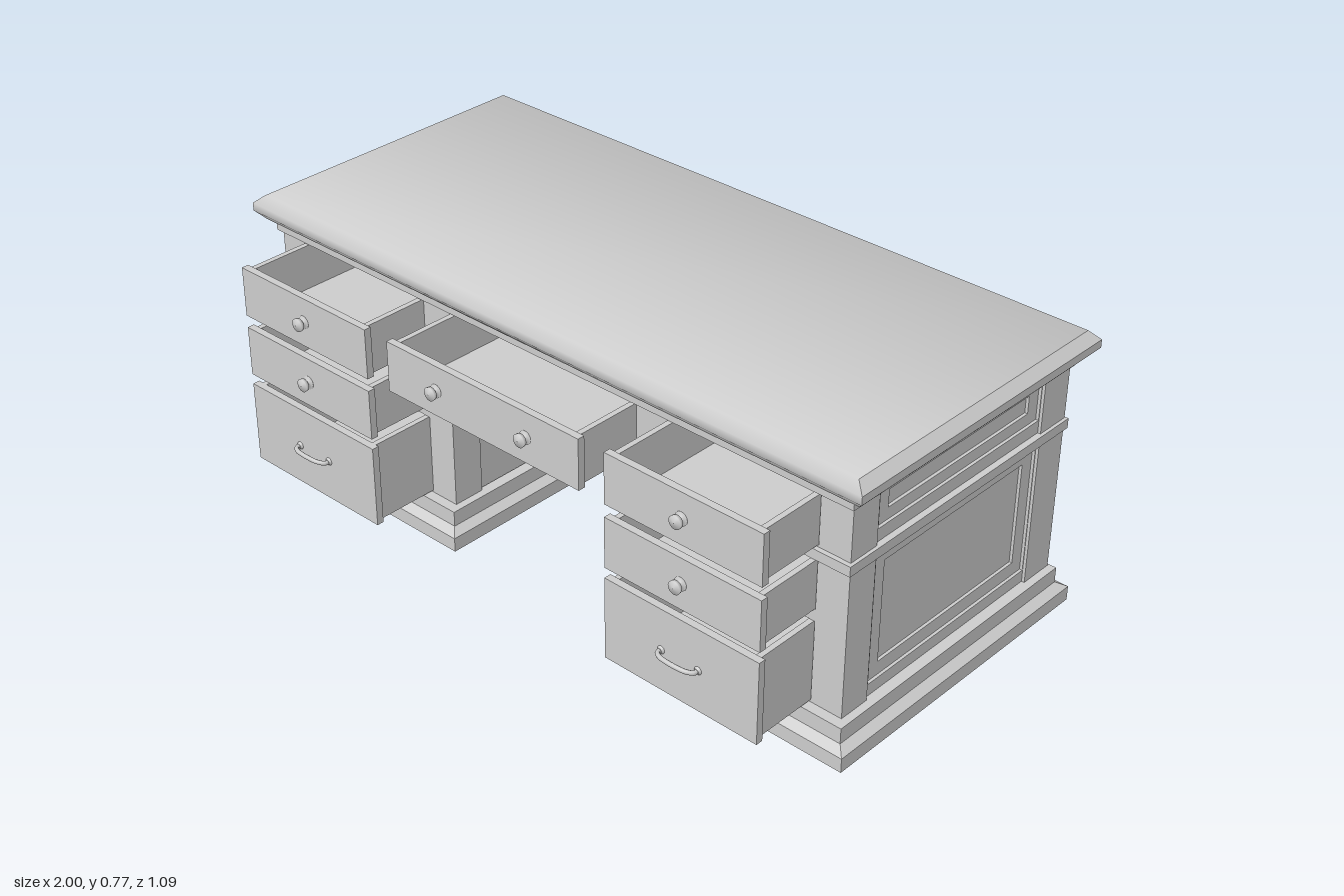
import * as THREE from 'three';

const grey = new THREE.MeshStandardMaterial({ color: 0xcccccc });
const FRONT = 0.307, BACK = -0.51, SIDE = 0.945, KNEE = 0.323;

function add(parent, name, geometry) {
  const mesh = new THREE.Mesh(geometry, grey);
  mesh.name = name;
  parent.add(mesh);
  return mesh;
}

// Box given by its limits on each axis
function box(parent, name, x0, x1, y0, y1, z0, z1) {
  const mesh = add(parent, name, new THREE.BoxGeometry(Math.abs(x1 - x0), y1 - y0, z1 - z0));
  mesh.position.set((x0 + x1) / 2, (y0 + y1) / 2, (z0 + z1) / 2);
}

// Flat board with rectangular holes [x0, x1, y0, y1]
function plate(outline, holes, depth) {
  const shape = new THREE.Shape(outline.map(([x, y]) => new THREE.Vector2(x, y)));
  for (const [x0, x1, y0, y1] of holes) {
    shape.holes.push(new THREE.Path([[x0, y0], [x0, y1], [x1, y1], [x1, y0]]
      .map(([x, y]) => new THREE.Vector2(x, y))));
  }
  return new THREE.ExtrudeGeometry(shape, { depth, bevelEnabled: false });
}

// Moulding: a closed profile [out, y] swept round a right-angled plan [x, z] with mitred corners
function sweep(plan, profile) {
  const n = plan.length, m = profile.length, pos = [], idx = [];
  for (const [out, y] of profile) {
    plan.forEach(([x, z], j) => {
      const p = plan[(j + n - 1) % n], q = plan[(j + 1) % n];
      const nx = -Math.sign(z - p[1]) - Math.sign(q[1] - z);
      const nz = Math.sign(x - p[0]) + Math.sign(q[0] - x);
      pos.push(x + nx * out, y, z + nz * out);
    });
  }
  for (let i = 0; i < m; i++) {
    for (let j = 0; j < n; j++) {
      const k = (j + 1) % n, r = i * n, t = ((i + 1) % m) * n;
      idx.push(r + j, r + k, t + k, r + j, t + k, t + j);
    }
  }
  const indexed = new THREE.BufferGeometry();
  indexed.setAttribute('position', new THREE.Float32BufferAttribute(pos, 3));
  indexed.setIndex(idx);
  const flat = indexed.toNonIndexed();
  flat.computeVertexNormals();
  return flat;
}

// Desk top: one section [z, y, half width], smooth from front to back, with flat bevelled ends
function deskTop(parent) {
  const pts = [[0.333, 0.705, 0.976], [0.356, 0.73, 1], [0.356, 0.752, 1], [0.335, 0.775, 0.973],
    [-0.524, 0.775, 0.973], [-0.545, 0.752, 1], [-0.545, 0.73, 1], [-0.522, 0.705, 0.976]];
  const n = pts.length, pos = [], normals = [], idx = [], ends = [];
  const edgeNormal = i => {
    const a = pts[(i + n) % n], b = pts[(i + 1) % n];
    return new THREE.Vector3(0, a[0] - b[0], b[1] - a[1]).normalize();
  };
  pts.forEach(([z, y, x], i) => {
    const v = edgeNormal(i - 1).add(edgeNormal(i)).normalize();
    pos.push(-x, y, z, x, y, z);
    normals.push(...v.toArray(), ...v.toArray());
    const a = 2 * i, d = 2 * ((i + 1) % n);
    idx.push(a, a + 1, d + 1, a, d + 1, d);
  });
  for (let i = 0; i < 3; i++) {
    for (const s of [-1, 1]) {
      const q = [i, 7 - i, 6 - i, i + 1].map(k => [s * pts[k][2], pts[k][1], pts[k][0]]);
      if (s < 0) q.reverse();
      for (const k of [0, 1, 2, 0, 2, 3]) ends.push(...q[k]);
    }
  }
  const surface = new THREE.BufferGeometry();
  surface.setAttribute('position', new THREE.Float32BufferAttribute(pos, 3));
  surface.setAttribute('normal', new THREE.Float32BufferAttribute(normals, 3));
  surface.setIndex(idx);
  add(parent, 'deskTop', surface);
  const sides = new THREE.BufferGeometry();
  sides.setAttribute('position', new THREE.Float32BufferAttribute(ends, 3));
  sides.computeVertexNormals();
  add(parent, 'deskTopEnds', sides);
}

function knob(parent, x, y) {
  const profile = [[0.018, 0], [0.018, 0.003], [0.007, 0.004], [0.007, 0.012], [0.017, 0.014],
    [0.018, 0.023], [0, 0.027]].map(([r, h]) => new THREE.Vector2(r, h));
  const mesh = add(parent, 'drawerKnob', new THREE.LatheGeometry(profile, 20));
  mesh.rotation.x = Math.PI / 2;
  mesh.position.set(x, y, 0.509);
}

function pull(parent, x, y) {
  const group = new THREE.Group();
  group.name = 'drawerPull';
  group.position.set(x, y, 0.51);
  const half = [[0.056, 0, 0], [0.056, 0, 0.012], [0.04, 0.002, 0.024], [0.018, 0.003, 0.028]];
  const path = new THREE.CatmullRomCurve3([...half.map(([a, b, c]) => [-a, b, c]), ...half.reverse()]
    .map(p => new THREE.Vector3(...p)));
  add(group, 'pullBar', new THREE.TubeGeometry(path, 30, 0.006, 8));
  for (const s of [-1, 1]) {
    const rose = add(group, 'pullRosette', new THREE.CylinderGeometry(0.007, 0.011, 0.006, 16));
    rose.rotation.x = Math.PI / 2;
    rose.position.set(s * 0.056, 0, 0.003);
  }
  parent.add(group);
}

// Open drawer: overlapping front and a hollow box behind it
function drawer(parent, name, x, half, y0, y1) {
  const g = new THREE.Group();
  g.name = name;
  const w = half - 0.012, end = -0.25, t = 0.015;
  box(g, 'drawerFront', x - half, x + half, y0, y1, 0.49, 0.51);
  for (const s of [-1, 1]) {
    box(g, 'drawerSide', x + s * w, x + s * (w - t), y0 + 0.002, y1 - 0.002, end, 0.49);
  }
  box(g, 'drawerBack', x - w + t, x + w - t, y0 + 0.002, y1 - 0.002, end, end + t);
  box(g, 'drawerBottom', x - w + t, x + w - t, y0 + 0.002, y0 + 0.014, end + t, 0.49);
  parent.add(g);
  return g;
}

export function createModel() {
  const desk = new THREE.Group();
  desk.name = 'desk';
  deskTop(desk);

  // Mouldings under the top and at mid height
  const outer = [[-SIDE, 0.311], [SIDE, 0.311], [SIDE, BACK + 0.005], [-SIDE, BACK + 0.005]];
  for (const [name, y0, y1] of [['topMoulding', 0.677, 0.706], ['middleMoulding', 0.503, 0.53]]) {
    add(desk, name, sweep(outer, [[-0.025, y0], [0.009, y0], [0.009, y1], [-0.025, y1]]));
  }

  // Stepped plinth following the knee hole, hollow underneath
  const plan = [[-SIDE, 0.314], [-KNEE, 0.314], [-KNEE, -0.45], [KNEE, -0.45],
    [KNEE, 0.314], [SIDE, 0.314], [SIDE, -0.494], [-SIDE, -0.494]];
  add(desk, 'plinth', sweep(plan, [[0.018, 0], [0.047, 0], [0.047, 0.04], [0.022, 0.055],
    [0.022, 0.098], [-0.01, 0.098], [-0.01, 0.05], [0.018, 0.04]]));

  // Front face frame with the drawer openings
  const rows = [[0.533, 0.672], [0.358, 0.498], [0.1, 0.329]];
  const holes = [[-0.31, 0.31, 0.535, 0.67]];
  for (const s of [-1, 1]) {
    for (const [y0, y1] of rows) {
      holes.push([s * 0.632 - 0.223, s * 0.632 + 0.223, y0 + 0.002, y1 - 0.002]);
    }
  }
  const faceFrame = add(desk, 'faceFrame', plate([[-SIDE, 0.03], [-KNEE, 0.03], [-KNEE, 0.503],
    [KNEE, 0.503], [KNEE, 0.03], [SIDE, 0.03], [SIDE, 0.7], [-SIDE, 0.7]], holes, 0.02));
  faceFrame.position.z = FRONT - 0.02;

  // Back panel and knee hole ceiling
  box(desk, 'backPanel', -0.9, 0.9, 0.04, 0.705, BACK + 0.007, -0.45);
  box(desk, 'kneeCeiling', -0.345, 0.345, 0.505, 0.52, -0.45, FRONT - 0.02);

  for (const s of [-1, 1]) {
    const pedestal = new THREE.Group();
    pedestal.name = s > 0 ? 'leftPedestal' : 'rightPedestal';
    desk.add(pedestal);

    // Corner posts
    box(pedestal, 'frontPost', s * 0.87, s * SIDE, 0.015, 0.7, 0.215, FRONT - 0.02);
    box(pedestal, 'backPost', s * 0.88, s * SIDE, 0.015, 0.7, BACK, -0.41);
    box(pedestal, 'innerFrontPost', s * KNEE, s * 0.395, 0.015, 0.503, 0.215, FRONT - 0.02);
    box(pedestal, 'innerBackPost', s * KNEE, s * 0.395, 0.015, 0.503, -0.45, -0.37);

    // Framed side panels, stepped inward twice
    const wall = (name, rects, x) => {
      const us = [-s * 0.215, s * 0.41];
      const [a, b] = [Math.min(...us), Math.max(...us)];
      const mesh = add(pedestal, name, plate([[a, 0.03], [b, 0.03], [b, 0.7], [a, 0.7]],
        rects.map(([z0, z1, y0, y1]) => [-s * z0, -s * z1, y0, y1]), 0.008));
      mesh.rotation.y = s * Math.PI / 2;
      mesh.position.x = s * x;
    };
    wall('sideRails', [[0.203, -0.408, 0.565, 0.677], [0.203, -0.408, 0.132, 0.492]], 0.929);
    wall('sidePanelFrame', [[0.16, -0.37, 0.597, 0.645], [0.16, -0.37, 0.17, 0.455]], 0.921);
    wall('sidePanel', [], 0.913);

    // Knee hole wall, floor and bottom rails
    box(pedestal, 'kneeWall', s * 0.343, s * 0.36, 0.04, 0.505, -0.45, 0.25);
    box(pedestal, 'pedestalFloor', s * 0.35, s * 0.915, 0.075, 0.09, -0.48, FRONT - 0.02);
    for (const x of [0.36, 0.89]) {
      box(pedestal, 'bottomRail', s * x, s * (x + 0.025), 0.035, 0.075, -0.45, 0.28);
    }

    // Three drawers
    rows.forEach(([y0, y1], i) => {
      const d = drawer(pedestal, ['upperDrawer', 'middleDrawer', 'lowerDrawer'][i], s * 0.632, 0.233, y0, y1);
      if (i < 2) knob(d, s * 0.632, i ? 0.428 : 0.603);
      else pull(d, s * 0.632, 0.215);
    });
  }

  // Wide centre drawer
  const centre = drawer(desk, 'centreDrawer', 0, 0.32, ...rows[0]);
  for (const s of [-1, 1]) knob(centre, s * 0.15, 0.603);

  return desk;
}
